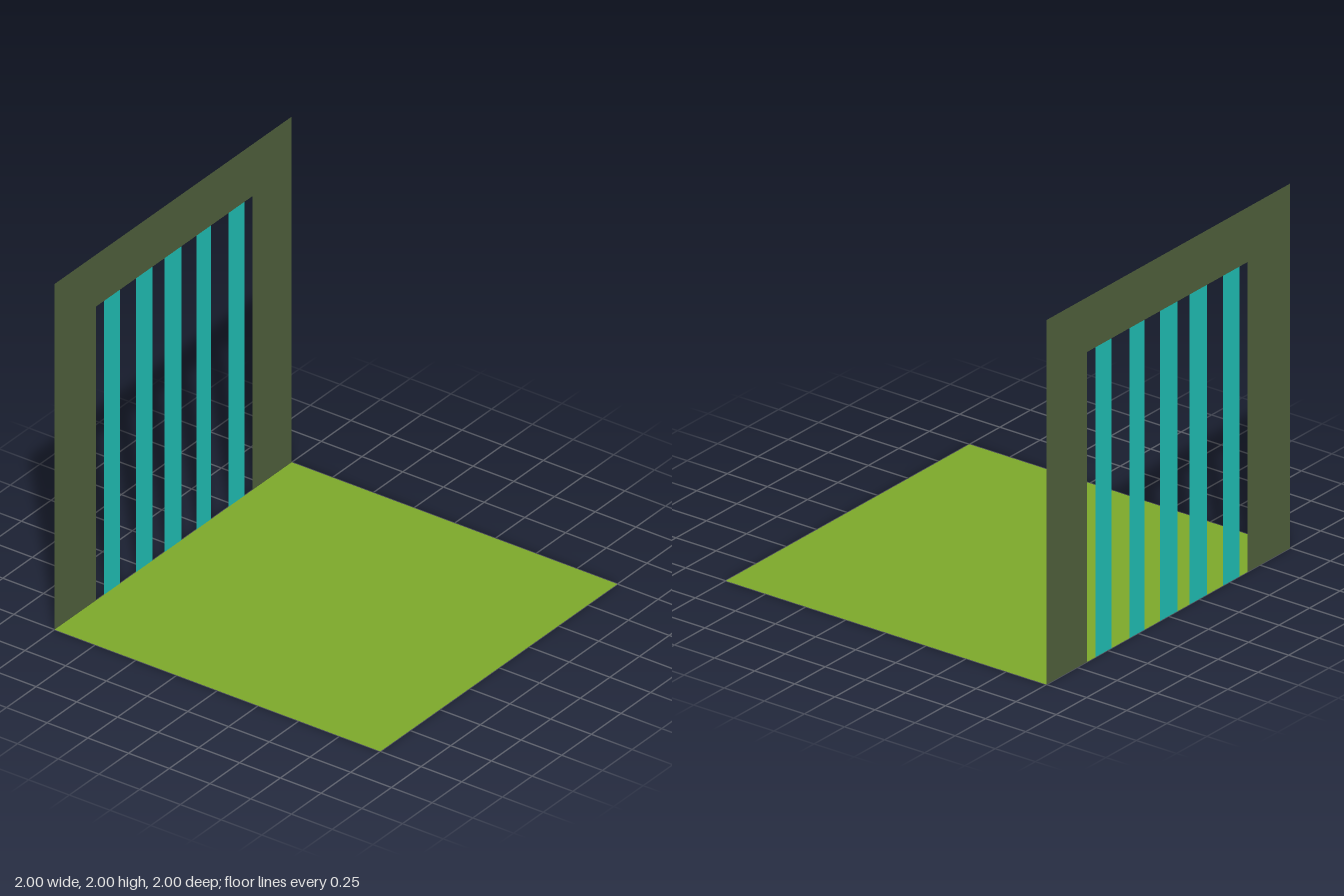
import * as THREE from 'three';

const material = (name, color) =>
  new THREE.MeshStandardMaterial({ name, color, side: THREE.DoubleSide });

export function createModel() {
  const group = new THREE.Group();
  group.name = 'barredGateAndGround';
  const grass = material('grass green', 0x7fab2b);
  const stone = material('dark olive', 0x556640);
  const bar = material('turquoise', 0x22cabf);

  const add = (name, geometry, mat) => {
    const mesh = new THREE.Mesh(geometry, mat);
    mesh.name = name;
    group.add(mesh);
    return mesh;
  };

  // Flat ground sheet
  add('ground', new THREE.PlaneGeometry(2, 2).rotateX(-Math.PI / 2), grass);

  // Upright sheet along the left-hand edge; shape x runs towards -z
  const outline = [[-1, 0], [-0.65, 0], [-0.65, 1.7], [0.67, 1.7], [0.67, 0], [1, 0], [1, 2], [-1, 2]];
  const arch = new THREE.Shape(outline.map(([u, y]) => new THREE.Vector2(u, y)));
  add('archWall', new THREE.ShapeGeometry(arch).rotateY(Math.PI / 2), stone).position.x = -1;

  // Vertical bars in the opening: [front z, back z]
  const bars = [[0.585, 0.45], [0.315, 0.175], [0.075, -0.07], [-0.195, -0.32], [-0.465, -0.6]];
  bars.forEach(([front, back], i) => {
    const strip = new THREE.PlaneGeometry(front - back, 1.7).rotateY(Math.PI / 2);
    add(`bar${i + 1}`, strip, bar).position.set(-1, 0.85, (front + back) / 2);
  });

  return group;
}
